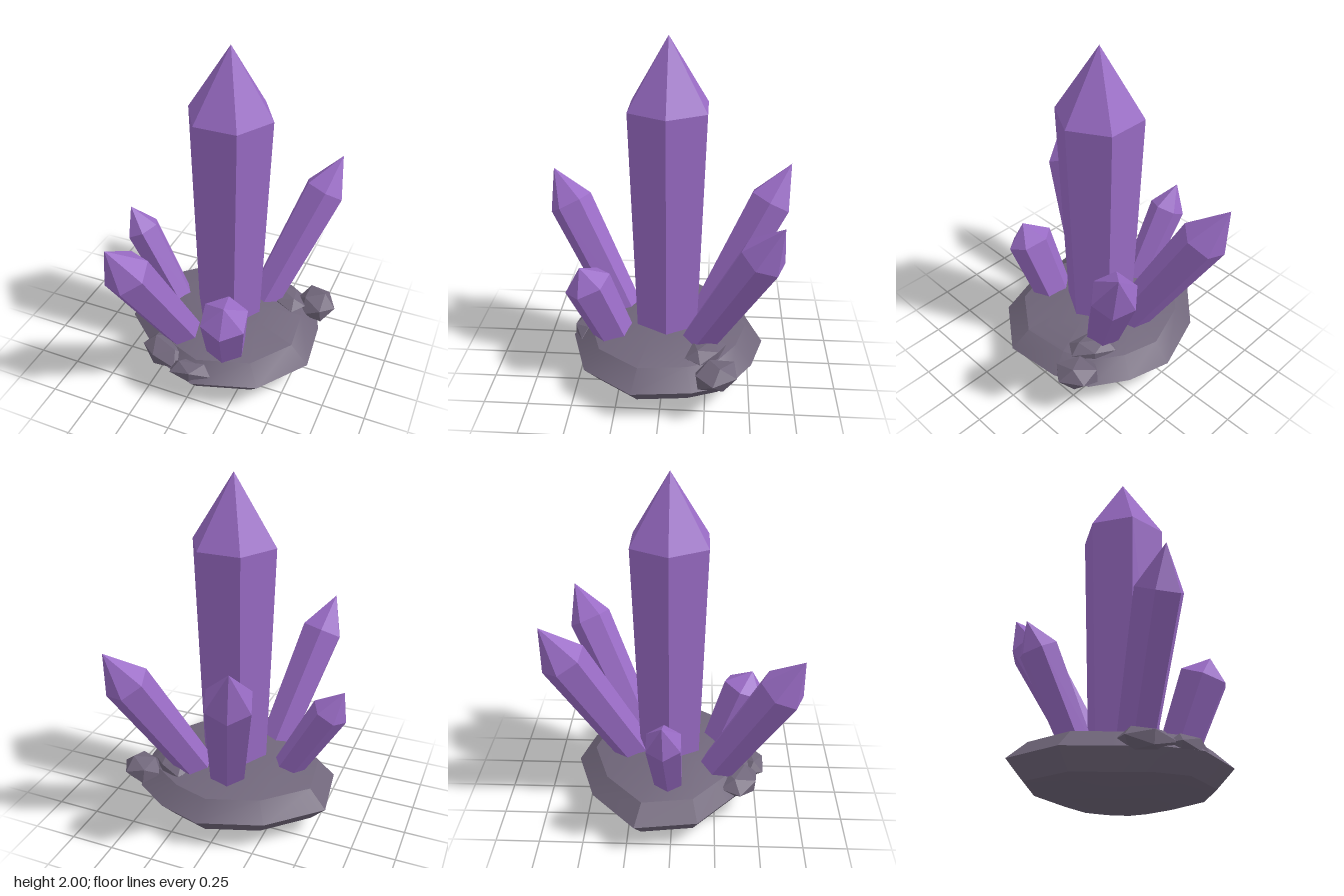
import * as THREE from 'three';
import { toCreasedNormals } from 'three/addons/utils/BufferGeometryUtils.js';

const UP = new THREE.Vector3(0, 1, 0);

// Six-sided crystal with a pointed tip, running from base to tip
function crystal(name, material, base, tip, radius, shoulder, turn = 0) {
  const start = new THREE.Vector3(...base);
  const axis = new THREE.Vector3(...tip).sub(start);
  const length = axis.length();
  const sunk = 0.1;
  const profile = [
    new THREE.Vector2(0, -sunk),
    new THREE.Vector2(radius * 0.8, -sunk),
    new THREE.Vector2(radius, length * shoulder),
    new THREE.Vector2(0, length),
  ];
  const geometry = new THREE.LatheGeometry(profile, 6, turn).toNonIndexed();
  geometry.computeVertexNormals();
  const mesh = new THREE.Mesh(geometry, material);
  mesh.name = name;
  mesh.position.copy(start);
  mesh.quaternion.setFromUnitVectors(UP, axis.normalize());
  return mesh;
}

// Irregular rock slab: the outline is scaled at several heights and skinned
function rockBase(material) {
  const outline = [
    [0.05, -0.58], [0.3, -0.51], [0.5, -0.38], [0.58, -0.18], [0.615, 0.15], [0.41, 0.435],
    [0.05, 0.55], [-0.16, 0.47], [-0.33, 0.32], [-0.525, 0.15], [-0.575, -0.2], [-0.3, -0.46],
  ];
  const rings = [[0.01, 0.5], [0.075, 0.84], [0.18, 1], [0.275, 0.82], [0.33, 0.42]];
  const n = outline.length;
  const positions = [];
  const index = [];
  rings.forEach(([y, s]) => outline.forEach(([x, z]) => positions.push(x * s, y, z * s)));
  positions.push(0, 0, 0, 0, 0.34, 0);
  const bottom = rings.length * n;
  const top = bottom + 1;
  for (let i = 0; i < n; i++) {
    const j = (i + 1) % n;
    for (let r = 0; r < rings.length - 1; r++) {
      const a = r * n + i, b = r * n + j;
      index.push(a, a + n, b, b, a + n, b + n);
    }
    const last = (rings.length - 1) * n;
    index.push(bottom, i, j, top, last + j, last + i);
  }
  const geometry = new THREE.BufferGeometry();
  geometry.setAttribute('position', new THREE.Float32BufferAttribute(positions, 3));
  geometry.setIndex(index);
  const mesh = new THREE.Mesh(toCreasedNormals(geometry, 0.5), material);
  mesh.name = 'rockBase';
  return mesh;
}

// Small faceted stone resting on the slab
function stone(name, material, position, scale, rotation) {
  const mesh = new THREE.Mesh(new THREE.IcosahedronGeometry(1, 0), material);
  mesh.name = name;
  mesh.position.set(...position);
  mesh.scale.set(...scale);
  mesh.rotation.set(...rotation);
  return mesh;
}

export function createModel() {
  const purple = new THREE.MeshStandardMaterial({ color: 0x9a6cc6 });
  purple.name = 'crystalPurple';
  const grey = new THREE.MeshStandardMaterial({ color: 0x70667a });
  grey.name = 'rockGrey';

  const group = new THREE.Group();
  group.name = 'crystalCluster';
  group.add(rockBase(grey));

  // Tall centre crystal with corners towards the sides
  group.add(crystal('centreCrystal', purple, [0.05, 0.28, -0.02], [0.05, 2, -0.02], 0.243, 0.779, Math.PI / 6));

  // Leaning crystals: name, base, tip, radius, shoulder height, turn
  [
    ['backRightCrystal', [0, 0.33, -0.25], [-0.21, 1.22, -0.715], 0.135, 0.76, 0.35],
    ['backLeftCrystal', [0.23, 0.33, -0.23], [0.53, 1.155, -0.63], 0.128, 0.76, 0.2],
    ['frontRightCrystal', [-0.13, 0.31, 0.28], [-0.335, 1.11, 0.7], 0.133, 0.75, 0.15],
    ['sideCrystal', [-0.3, 0.31, -0.02], [-0.605, 0.86, -0.04], 0.106, 0.75, Math.PI / 6],
    ['frontLeftCrystal', [0.16, 0.28, 0.29], [0.22, 0.73, 0.47], 0.138, 0.77, 0.2],
  ].forEach(([name, ...args]) => group.add(crystal(name, purple, ...args)));

  // Loose stones: name, centre, half sizes, rotation
  [
    ['backStone', [0.52, 0.26, -0.31], [0.12, 0.08, 0.14], [0.1, 0.5, 0.1]],
    ['backShard', [0.34, 0.29, -0.25], [0.15, 0.055, 0.1], [0, -0.6, 0]],
    ['frontStone', [-0.18, 0.22, 0.39], [0.16, 0.07, 0.12], [0.1, -0.4, 0]],
    ['frontPebble', [0.02, 0.21, 0.47], [0.14, 0.06, 0.085], [0, 0.2, 0]],
  ].forEach(([name, ...args]) => group.add(stone(name, grey, ...args)));

  return group;
}
